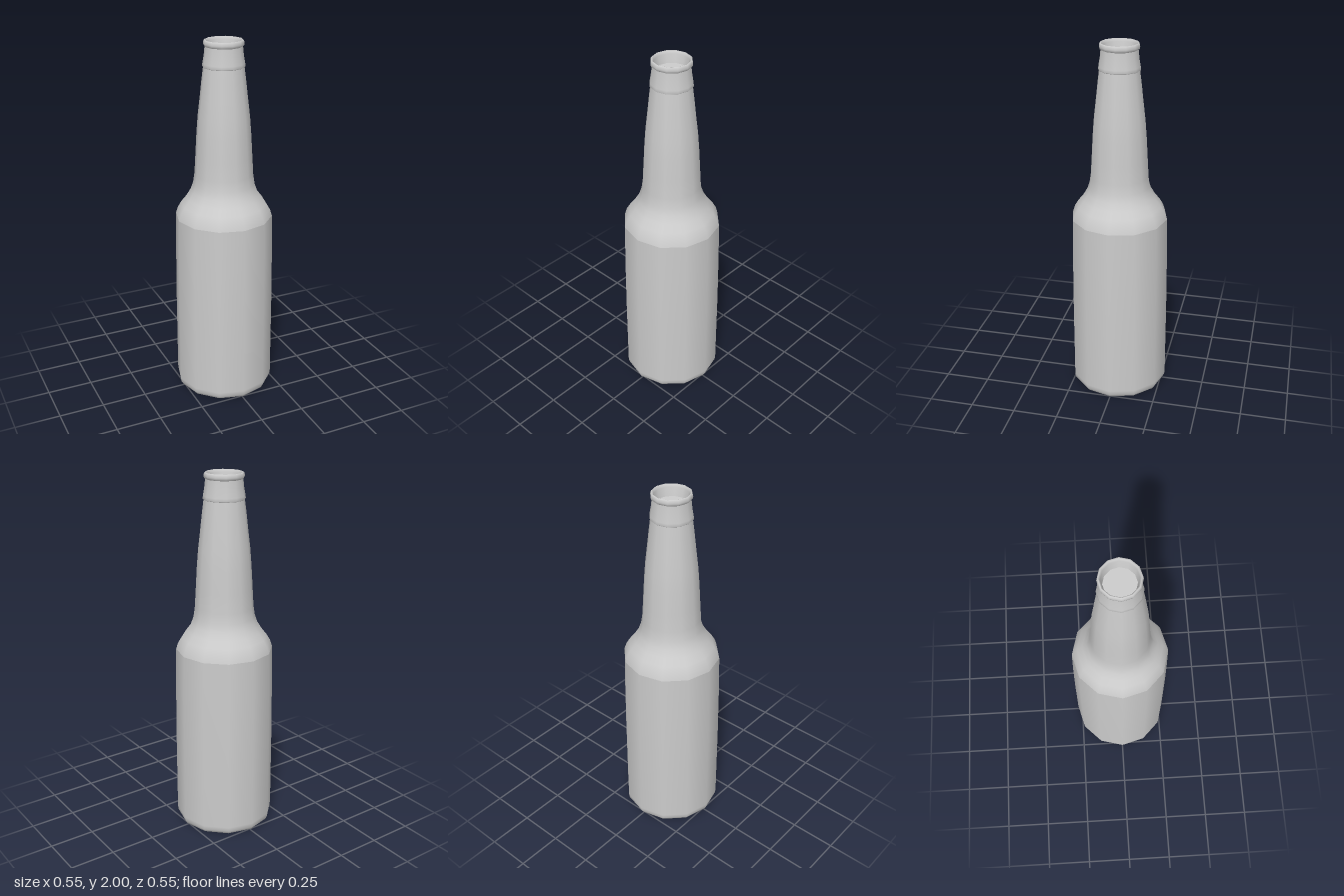
import * as THREE from 'three';

const SIDES = 12;
const material = new THREE.MeshStandardMaterial({ color: 0xcccccc });

// Revolves [radius, height] pairs, listed bottom to top for an outward surface
function turned(name, profile) {
  const points = profile.map(([r, y]) => new THREE.Vector2(r, y));
  const mesh = new THREE.Mesh(new THREE.LatheGeometry(points, SIDES), material);
  mesh.name = name;
  return mesh;
}

export function createModel() {
  const bottle = new THREE.Group();
  bottle.name = 'bottle';

  // Flat underside
  bottle.add(turned('base', [[0, 0], [0.245, 0]]));

  // Rounded heel and nearly straight body
  bottle.add(turned('body', [
    [0.245, 0], [0.262, 0.008], [0.272, 0.025], [0.275, 0.05],
    [0.274, 0.5], [0.271, 0.8], [0.266, 1.04],
  ]));

  // Shoulder sweeping into the tapered neck
  bottle.add(turned('shoulderAndNeck', [
    [0.266, 1.04], [0.255, 1.075], [0.234, 1.11], [0.205, 1.147],
    [0.182, 1.185], [0.168, 1.225], [0.16, 1.28], [0.154, 1.38],
    [0.147, 1.5], [0.139, 1.6], [0.127, 1.7], [0.117, 1.79], [0.108, 1.86],
  ]));

  // Collar with a small step below the mouth
  bottle.add(turned('collar', [
    [0.108, 1.86], [0.113, 1.864], [0.111, 1.88], [0.104, 1.92], [0.099, 1.967],
  ]));

  // Rolled lip and the funnel inside it
  bottle.add(turned('lip', [
    [0.099, 1.967], [0.105, 1.972], [0.107, 1.982], [0.105, 1.994],
    [0.1, 2], [0.095, 1.998], [0.09, 1.985], [0.081, 1.94],
  ]));

  // Surface closing the inside of the mouth
  bottle.add(turned('mouthFloor', [[0.081, 1.94], [0, 1.94]]));

  return bottle;
}
